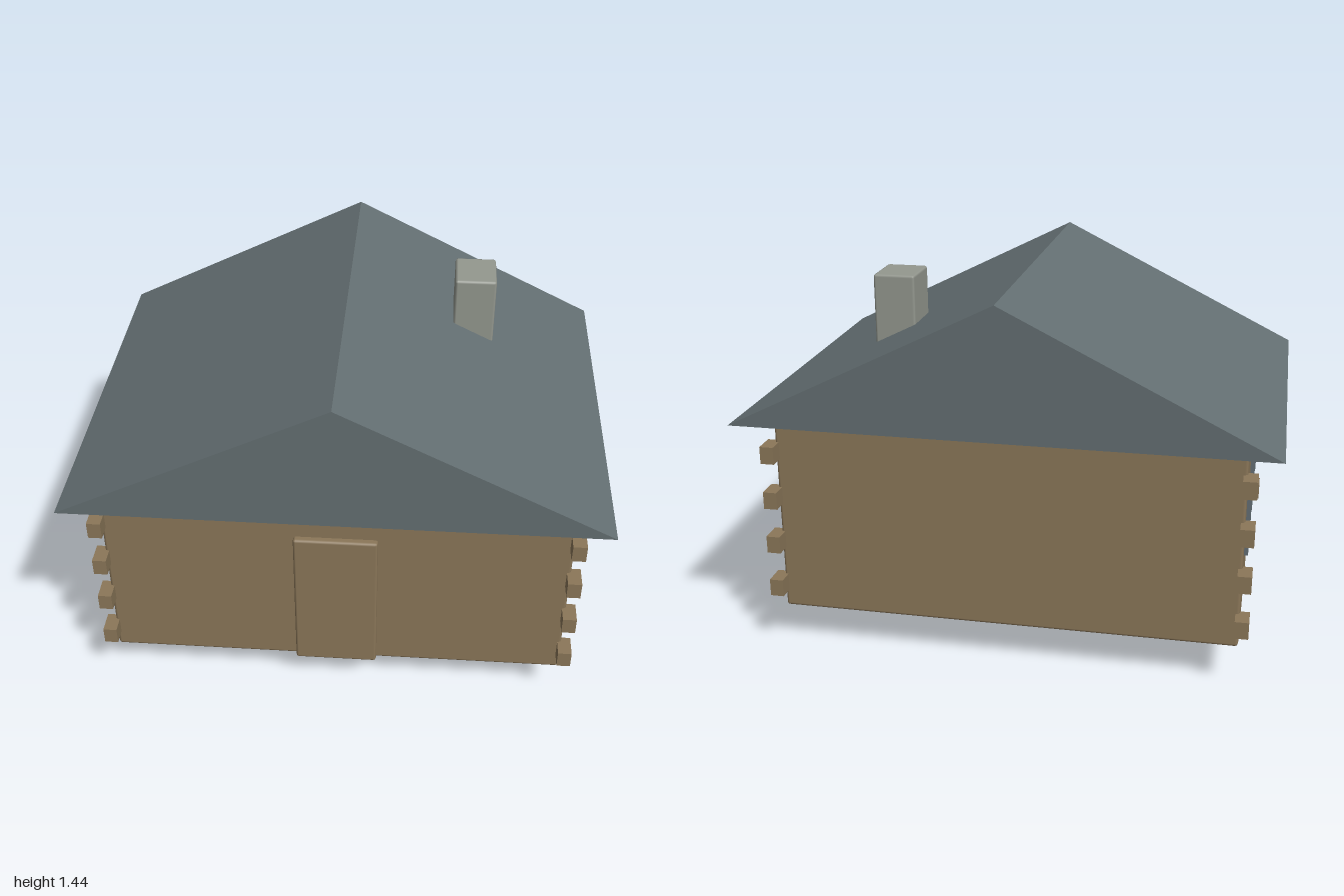
import * as THREE from 'three';
import { RoundedBoxGeometry } from 'three/addons/geometries/RoundedBoxGeometry.js';

export function createModel() {
  const model = new THREE.Group();
  model.name = 'cabin';

  const flat = (name, color, extra = {}) => {
    const m = new THREE.MeshStandardMaterial({ color, ...extra });
    m.name = name;
    return m;
  };
  const wood = flat('wood', 0x8b7759);
  const slate = flat('slate', 0x646f72, { side: THREE.DoubleSide });
  const glass = flat('glass', 0x646f75);
  const stone = flat('stone', 0x94988f);
  const rockMat = flat('rock', 0x868885, { flatShading: true });

  const add = (name, geometry, material, x = 0, y = 0, z = 0) => {
    const mesh = new THREE.Mesh(geometry, material);
    mesh.name = name;
    mesh.position.set(x, y, z);
    model.add(mesh);
    return mesh;
  };

  // Main body and front door, both with softened edges
  add('walls', new RoundedBoxGeometry(1.754, 0.784, 1.29, 1, 0.012), wood, 0, 0.55, 0);
  add('door', new RoundedBoxGeometry(0.316, 0.615, 0.05, 1, 0.01), wood, 0, 0.467, 0.645);

  // Open-bottomed gable roof
  const W = 1, D = 0.772, eave = 0.943, ridge = 1.44;
  const fl = [-W, eave, D], fr = [W, eave, D], ft = [0, ridge, D];
  const bl = [-W, eave, -D], br = [W, eave, -D], bt = [0, ridge, -D];
  const roof = new THREE.BufferGeometry();
  roof.setAttribute('position', new THREE.Float32BufferAttribute([
    fl, fr, ft, br, bl, bt,           // gables
    fr, br, bt, fr, bt, ft,           // left slope
    bl, fl, ft, bl, ft, bt,           // right slope
  ].flat(), 3));
  roof.computeVertexNormals();
  add('roof', roof, slate);

  // Chimney, running down into the loft
  add('chimney', new RoundedBoxGeometry(0.16, 0.425, 0.192, 1, 0.01), stone, 0.486, 1.2125, -0.242);

  // Log ends stacked at the four corners, and three windows on each side
  const logEnd = new THREE.BoxGeometry(0.052, 0.067, 0.086);
  const pane = new THREE.BoxGeometry(0.03, 0.224, 0.213);
  for (const side of [-1, 1]) {
    for (const end of [-1, 1]) {
      for (let i = 0; i < 4; i++) {
        add('logEnd', logEnd, wood, side * 0.887, 0.261 + i * 0.182, end * 0.663);
      }
    }
    for (const z of [-0.425, 0, 0.425]) add('window', pane, glass, side * 0.877, 0.591, z);
  }

  // Rough boulder under the floor, lofted from jittered rings: [y, rx, rz, cx, cz]
  let seed = 11;
  const rand = () => ((seed = (seed * 16807) % 2147483647) / 2147483647) - 0.5;
  const n = 12;
  const rings = [
    [0.003, 0, 0, 0.1, -0.05],
    [0.04, 0.2, 0.17, 0.02, 0.01],
    [0.09, 0.3, 0.28, 0, 0],
    [0.135, 0.37, 0.37, 0, 0.01],
    [0.19, 0.4, 0.4, 0, 0.01],
    [0.3, 0.25, 0.25, 0, 0],
  ].map(([y, rx, rz, cx, cz], k) => Array.from({ length: n }, (_, i) => {
    const a = ((i + (k % 2) * 0.5) / n) * Math.PI * 2;
    const s = 1 + rand() * 0.14;
    const lift = k === 0 ? 0 : rand() * 0.03;
    return [cx + Math.cos(a) * rx * s, y + lift, cz + Math.sin(a) * rz * s];
  }));
  const tris = [];
  for (let k = 0; k < rings.length - 1; k++) {
    for (let i = 0; i < n; i++) {
      const j = (i + 1) % n, lo = rings[k], up = rings[k + 1];
      tris.push(lo[i], up[i], up[j]);
      if (k > 0) tris.push(lo[i], up[j], lo[j]);
    }
  }
  const rock = new THREE.BufferGeometry();
  rock.setAttribute('position', new THREE.Float32BufferAttribute(tris.flat(), 3));
  rock.computeVertexNormals();
  add('boulder', rock, rockMat);

  return model;
}
